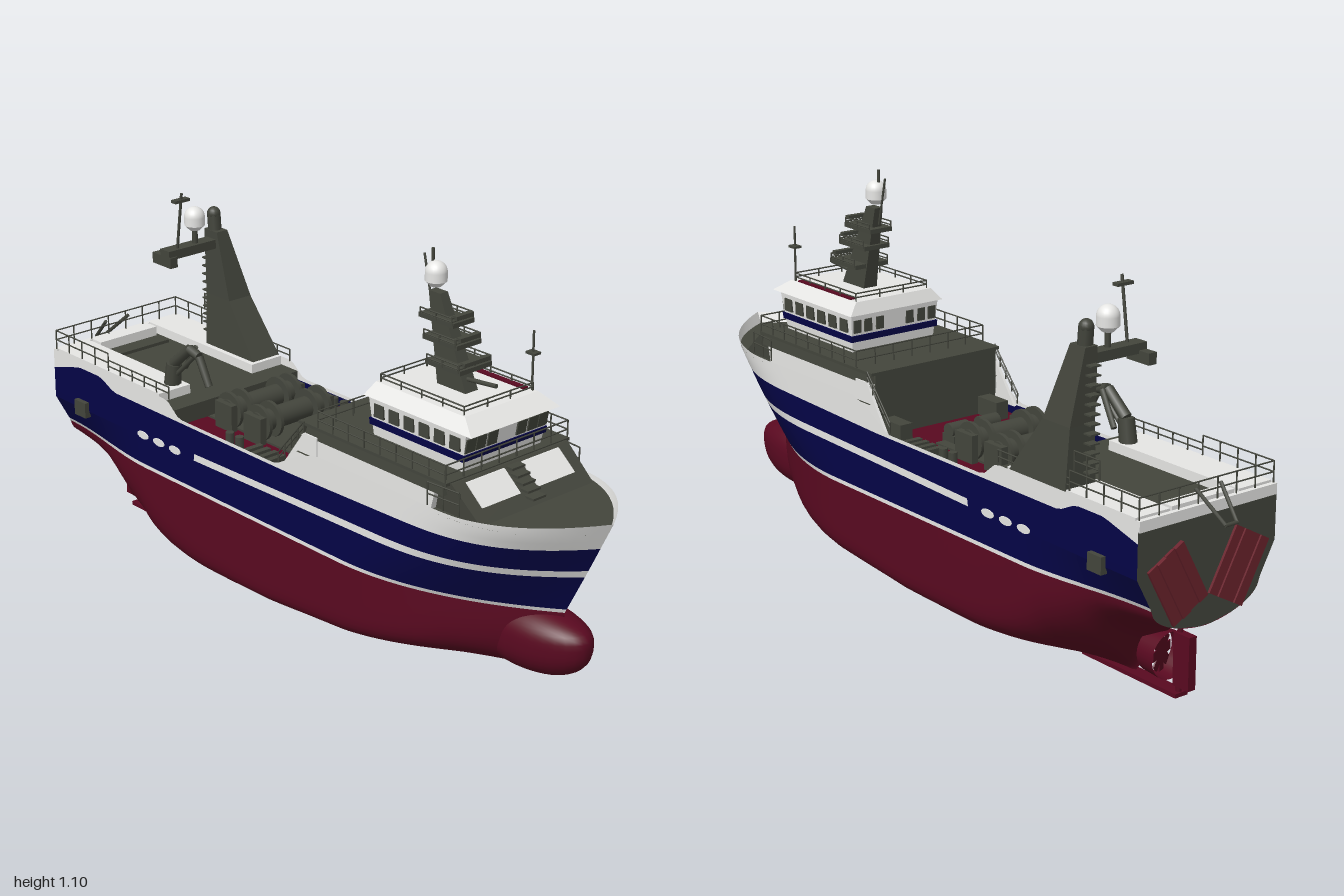
import * as THREE from 'three';

const paint = (name, color) => new THREE.MeshStandardMaterial({ name, color, side: THREE.DoubleSide });
const RED = paint('maroon', 0x590920), NAVY = paint('navy', 0x040446), WHITE = paint('white', 0xe6e6e4);
const GREY = paint('deck grey', 0x43453c), DOOR = paint('faded red', 0x6a222c);

const clamp = THREE.MathUtils.clamp, lerp = THREE.MathUtils.lerp;
const V = (x, y, z) => new THREE.Vector3(x, y, z);

// Piecewise-linear lookup: table rows are [key, value...]
function look(table, k, col = 1) {
  let i = 0;
  while (i < table.length - 2 && k > table[i + 1][0]) i++;
  const a = table[i], b = table[i + 1];
  return lerp(a[col], b[col], clamp((k - a[0]) / (b[0] - a[0]), 0, 1));
}

// Hull lines
const STERN = -0.92, WL = 0.291;
// z, keel height, bilge fullness, section power
const KEEL = [[-0.92, 0.215, 2, 0.6], [-0.8, 0.17, 2, 0.9], [-0.74, 0.1, 2, 1.4], [-0.68, 0.014, 2.2, 1.5],
  [-0.55, 0.003, 3.5, 1.2], [-0.3, 0.02, 12, 0.85], [0, 0.042, 19, 0.8], [0.3, 0.062, 14, 0.8],
  [0.6, 0.088, 5, 0.8], [0.76, 0.107, 3, 0.8], [0.83, 0.16, 2, 0.8], [0.86, 0.286, 2, 0.8]];
const SHEER = [[-0.92, 0.525], [-0.4, 0.525], [-0.35, 0.485], [0.05, 0.485], [0.13, 0.53], [0.2, 0.555], [0.7, 0.555], [1, 0.575]];
const BLUE = [[-0.92, 0.47], [-0.8, 0.503], [-0.7, 0.503], [-0.64, 0.475], [0.1, 0.475], [0.6, 0.488], [1, 0.5]];
const keel = z => look(KEEL, z), sheer = z => look(SHEER, z), blueTop = z => look(BLUE, z);
const stripeLow = z => look([[-0.92, 0.38], [-0.29, 0.383], [0.1, 0.392], [1, 0.41]], z);
const stripeHigh = z => stripeLow(z) + 0.02;
const stem = y => look([[WL, 0.86], [0.42, 0.925], [0.575, 1]], y);

function half(z, y) {
  const yy = Math.max(y, WL), f = clamp((yy - WL) / 0.25, 0, 1);
  const t = clamp((stem(yy) - z) / lerp(0.58, 0.45, f), 0, 1);
  let w = 0.222 * (1 - Math.pow(1 - t, lerp(2, 3.4, f)));
  const aft = THREE.MathUtils.smoothstep(-z, 0.5, 0.92);
  w *= 1 - 0.22 * aft * (1 - clamp((yy - WL) / 0.09, 0, 1));
  if (y < WL) {
    const s = clamp((y - keel(z)) / (WL - keel(z)), 0, 1);
    w *= Math.pow(1 - Math.pow(1 - s, look(KEEL, z, 2)), look(KEEL, z, 3));
  }
  return w;
}

export function createModel() {
  const ship = new THREE.Group();
  ship.name = 'trawler';
  const add = (name, geo, mat, x = 0, y = 0, z = 0) => {
    const m = new THREE.Mesh(geo, mat);
    m.name = name;
    m.position.set(x, y, z);
    ship.add(m);
    return m;
  };
  // Tapered box: each end is [x0, x1, z0, z1, y]
  const block = (name, mat, lo, hi) => {
    const g = new THREE.BoxGeometry(1, 1, 1), p = g.attributes.position;
    for (let i = 0; i < p.count; i++) {
      const e = p.getY(i) > 0 ? hi : lo;
      p.setXYZ(i, p.getX(i) > 0 ? e[1] : e[0], e[4], p.getZ(i) > 0 ? e[3] : e[2]);
    }
    g.computeVertexNormals();
    return add(name, g, mat);
  };
  const box = (name, mat, x0, x1, y0, y1, z0, z1) => block(name, mat, [x0, x1, z0, z1, y0], [x0, x1, z0, z1, y1]);
  const beam = (name, a, b, r, mat = GREY, r2 = r) => {
    const m = add(name, new THREE.CylinderGeometry(r2, r, a.distanceTo(b), 8), mat);
    m.position.copy(a).lerp(b, 0.5);
    m.quaternion.setFromUnitVectors(V(0, 1, 0), b.clone().sub(a).normalize());
    return m;
  };
  const rail = (name, pts, h, gap = 0.06) => {
    for (let i = 0; i < pts.length - 1; i++) {
      const a = pts[i], b = pts[i + 1], n = Math.max(1, Math.round(a.distanceTo(b) / gap));
      for (const k of [0.5, 1]) beam(name + 'Bar', a.clone().setY(a.y + h * k), b.clone().setY(b.y + h * k), 0.002);
      for (let j = 0; j <= n; j++) {
        const p = a.clone().lerp(b, j / n);
        beam(name + 'Post', p, p.clone().setY(p.y + h), 0.002);
      }
    }
  };

  // Hull plating in painted bands, both sides
  const band = (name, mat, lo, hi, rows = 2, u0 = 0, u1 = 1, power = 1) => {
    for (const side of [1, -1]) {
      const pos = [], idx = [], cols = 90;
      for (let i = 0; i <= cols; i++) for (let j = 0; j <= rows; j++) {
        const u = lerp(u0, u1, i / cols), v = Math.pow(j / rows, power);
        let z = lerp(STERN, 0.9, u), y = 0;
        for (let k = 0; k < 5; k++) { y = lerp(lo(z), hi(z), v); z = lerp(STERN, stem(y), u); }
        pos.push(side * half(z, y), y, z);
        if (i < cols && j < rows) {
          const a = i * (rows + 1) + j, b = a + 1, c = a + rows + 1, d = c + 1;
          idx.push(...(side > 0 ? [a, b, c, b, d, c] : [a, c, b, b, c, d]));
        }
      }
      const g = new THREE.BufferGeometry();
      g.setAttribute('position', new THREE.Float32BufferAttribute(pos, 3));
      g.setIndex(idx);
      g.computeVertexNormals();
      add(name, g, mat);
    }
  };
  band('bottomHull', RED, keel, () => WL, 18, 0, 1, 2);
  band('waterline', WHITE, () => WL, () => 0.302, 1);
  band('lowerTopsides', NAVY, () => 0.302, stripeLow, 5);
  band('stripeAft', NAVY, stripeLow, stripeHigh, 1, 0, 0.345);
  band('stripe', WHITE, stripeLow, stripeHigh, 1, 0.345, 1);
  band('upperTopsides', NAVY, stripeHigh, blueTop, 4);
  band('bulwark', WHITE, blueTop, sheer, 3);
  // Bulbous bow: sphere squared off towards top and bottom, nose lifted
  const bulb = new THREE.SphereGeometry(1, 32, 24), bp = bulb.attributes.position;
  for (let i = 0; i < bp.count; i++) {
    const y = bp.getY(i), lift = Math.max(0, bp.getZ(i)) * 0.025 * (1 - Math.abs(y));
    bp.setXYZ(i, bp.getX(i) * 0.085, Math.sign(y) * Math.pow(Math.abs(y), 0.8) * 0.09 + lift, bp.getZ(i) * 0.195);
  }
  bulb.computeVertexNormals();
  add('bulbousBow', bulb, RED, 0, 0.2, 0.75);

  // Transom
  const edge = [];
  for (let i = 0; i <= 24; i++) { const y = lerp(0.216, 0.5, i / 24); edge.push([half(STERN, y), y]); }
  const flat = pts => new THREE.ShapeGeometry(new THREE.Shape(pts.map(p => new THREE.Vector2(p[0], p[1]))));
  const mirrored = e => [...e, ...e.slice().reverse().map(p => [-p[0], p[1]])];
  add('transom', flat(mirrored(edge)), GREY, 0, 0, STERN).rotation.y = Math.PI;
  box('transomTop', WHITE, -0.22, 0.22, 0.497, 0.525, -0.923, -0.91);
  // Decks
  const bow = [];
  for (let i = 0; i <= 30; i++) { const z = lerp(0.13, 0.985, i / 30); bow.push([half(z, 0.545), -z]); }
  add('foredeck', flat(mirrored(bow)), GREY, 0, 0.545, 0).rotation.x = -Math.PI / 2;
  box('workDeck', RED, -0.217, 0.217, 0.44, 0.45, -0.4, 0.16);
  box('winchBed', GREY, -0.1, 0.11, 0.45, 0.456, -0.4, -0.01);
  box('trawlDeck', GREY, -0.218, 0.218, 0.455, 0.503, -0.915, -0.37);
  for (const s of [1, -1]) {
    box('sideCasing', WHITE, s * 0.1635 - 0.0535, s * 0.1635 + 0.0535, 0.5, 0.529, -0.905, -0.44);
    box('casingStep', GREY, 0.16 * s - 0.02, 0.16 * s + 0.02, 0.45, 0.5, 0.05, 0.14);
    // Hull side plates and fenders
    for (const z of [-0.37, -0.44, -0.51]) {
      const c = add('sidePlate', new THREE.CylinderGeometry(0.011, 0.011, 0.005, 16), WHITE, 0.222 * s, 0.388, z);
      c.rotation.z = Math.PI / 2;
      c.scale.z = 2.2;
    }
    box('fender', GREY, s * 0.226 - 0.01, s * 0.226 + 0.01, 0.363, 0.408, -0.81, -0.76);
    // Trawl doors hung on the stern
    const door = new THREE.Group();
    door.name = 'trawlDoor';
    for (let i = 0; i < 4; i++) {
      const p = new THREE.Mesh(new THREE.BoxGeometry(0.029, 0.175, i % 2 ? 0.008 : 0.016), DOOR);
      p.name = 'doorPlank';
      p.position.x = (i - 1.5) * 0.03;
      door.add(p);
    }
    door.position.set(0.098 * s, 0.345, -0.923);
    door.rotation.z = -0.5 * s;
    ship.add(door);
  }
  box('sternHatch', GREY, -0.09, 0.09, 0.503, 0.512, -0.83, -0.79);
  box('sternBeam', WHITE, -0.1, 0.1, 0.503, 0.53, -0.9, -0.86);

  // Rudder, nozzle and heel
  box('rudder', RED, -0.012, 0.012, 0.03, 0.17, -0.88, -0.825);
  box('rudderHeel', RED, -0.02, 0.02, 0.003, 0.014, -0.845, -0.5);
  beam('rudderStock', V(0, 0.01, -0.835), V(0, 0.22, -0.835), 0.007, RED);
  add('propellerNozzle', new THREE.CylinderGeometry(0.058, 0.062, 0.06, 28, 1, true), RED, 0, 0.097, -0.775).rotation.x = Math.PI / 2;
  for (let i = 0; i < 4; i++) {
    const b = add('propellerBlade', new THREE.BoxGeometry(0.025, 0.1, 0.004), RED, 0, 0.097, -0.77);
    b.rotation.set(0, 0.4, i * Math.PI / 4);
  }

  // Forward deckhouse with sloping side wings aft
  block('deckhouseBase', WHITE, [-0.213, 0.213, 0.135, 0.6, 0.51], [-0.212, 0.212, 0.14, 0.62, 0.592]);
  block('deckhouseUpper', GREY, [-0.212, 0.212, 0.15, 0.65, 0.592], [-0.208, 0.208, 0.16, 0.64, 0.625]);
  block('deckhouseFront', GREY, [-0.195, 0.195, 0.6, 0.76, 0.545], [-0.2, 0.2, 0.6, 0.665, 0.625]);
  box('bridgeDeck', GREY, -0.213, 0.213, 0.62, 0.628, 0.13, 0.66);
  box('deckhouseAftWall', GREY, -0.2, 0.2, 0.45, 0.62, 0.13, 0.136);
  for (const s of [1, -1]) {
    block('sideWing', WHITE, [s * 0.213 - 0.004, s * 0.213 + 0.004, 0.06, 0.2, 0.475], [s * 0.211 - 0.004, s * 0.211 + 0.004, 0.15, 0.2, 0.6]);
    // Sloping panels lie just proud of the deckhouse front
    block('frontPanel', WHITE, [s * 0.095 - 0.065, s * 0.095 + 0.065, 0.724, 0.731, 0.573],
      [s * 0.095 - 0.065, s * 0.095 + 0.065, 0.668, 0.675, 0.62]);
    rail('wingRail', [V(s * 0.213, 0.6, 0.15), V(s * 0.213, 0.485, 0.05)], 0.03, 0.04);
  }
  for (let i = 0; i < 5; i++) box('frontStep', GREY, -0.022, 0.022, 0.56 + i * 0.014, 0.566 + i * 0.014, 0.67, 0.765 - i * 0.018);
  // Wheelhouse
  block('wheelhouse', WHITE, [-0.135, 0.135, 0.325, 0.635, 0.625], [-0.145, 0.145, 0.315, 0.655, 0.735]);
  block('blueBand', NAVY, [-0.143, 0.143, 0.317, 0.645, 0.657], [-0.144, 0.144, 0.316, 0.648, 0.674]);
  for (const x of [-0.124, -0.089, -0.05, 0.05, 0.089, 0.124]) {
    block('frontWindow', GREY, [x - 0.016, x + 0.016, 0.643, 0.649, 0.68], [x - 0.016, x + 0.016, 0.649, 0.656, 0.717]);
    box('rearWindow', GREY, x - 0.012, x + 0.012, 0.682, 0.717, 0.314, 0.319);
  }
  for (let i = 0; i < 6; i++) for (const s of [1, -1]) {
    const z = 0.352 + i * 0.053;
    box('sideWindow', GREY, s * 0.143 - 0.003, s * 0.143 + 0.003, 0.682, 0.717, z - 0.017, z + 0.017);
  }
  block('wheelhouseRoof', WHITE, [-0.153, 0.153, 0.305, 0.68, 0.733], [-0.125, 0.125, 0.32, 0.63, 0.766]);
  box('roofStrip', RED, 0.105, 0.122, 0.766, 0.77, 0.35, 0.6);
  rail('roofRail', [V(-0.118, 0.765, 0.62), V(-0.118, 0.765, 0.33), V(0.118, 0.765, 0.33), V(0.118, 0.765, 0.62), V(-0.118, 0.765, 0.62)], 0.022, 0.08);
  rail('bridgeRail', [V(-0.211, 0.625, 0.2), V(-0.211, 0.625, 0.655), V(0.211, 0.625, 0.655), V(0.211, 0.625, 0.2), V(-0.211, 0.625, 0.2)], 0.048);
  for (const s of [1, -1]) rail('foredeckRail', [V(s * 0.216, 0.555, 0.6), V(s * 0.208, 0.555, 0.7)], 0.06);
  beam('whipAerial', V(0.12, 0.73, 0.615), V(0.12, 0.92, 0.615), 0.003);
  box('aerialCross', GREY, 0.108, 0.132, 0.86, 0.866, 0.6, 0.63);

  // Raked main mast with radar platforms and dome
  const dome = (name, x, y, z, r) => {
    add(name, new THREE.SphereGeometry(r, 24, 10, 0, Math.PI * 2, 0, Math.PI / 2), WHITE, x, y, z);
    add(name + 'Skirt', new THREE.CylinderGeometry(r, r, r * 0.8, 24), WHITE, x, y - r * 0.4, z);
    add(name + 'Base', new THREE.CylinderGeometry(r, r * 0.5, r * 0.5, 24), WHITE, x, y - r * 1.05, z);
  };
  block('mainMast', GREY, [-0.022, 0.022, 0.43, 0.53, 0.76], [-0.013, 0.013, 0.385, 0.425, 0.995]);
  for (const [y, w, z] of [[0.83, 0.055, 0.47], [0.885, 0.042, 0.445], [0.935, 0.036, 0.425]]) {
    box('mastPlatform', GREY, -w, w, y - 0.006, y + 0.006, z - 0.05, z + 0.07);
    rail('platformRail', [V(-w, y, z - 0.045), V(-w, y, z + 0.065), V(w, y, z + 0.065), V(w, y, z - 0.045)], 0.02);
    box('radarScanner', GREY, -w * 0.8, w * 0.8, y + 0.014, y + 0.024, z + 0.06, z + 0.075);
  }
  beam('radarArm', V(0, 0.79, 0.46), V(0, 0.805, 0.61), 0.006);
  dome('mastDome', 0, 1.042, 0.397, 0.028);
  beam('mastTip', V(0, 1.06, 0.385), V(0, 1.1, 0.385), 0.004);
  beam('mastAerial', V(0, 0.95, 0.385), V(0, 1.08, 0.355), 0.003);

  // Net drums and small winches
  for (const z of [-0.28, -0.16]) {
    const across = (name, r, x, len) => { add(name, new THREE.CylinderGeometry(r, r, len, 24), GREY, x, 0.5, z).rotation.z = Math.PI / 2; };
    across('drumCore', 0.03, 0.005, 0.23);
    for (const x of [-0.1, -0.06, 0.07, 0.11]) across('drumFlange', 0.05, x, 0.01);
    for (const x of [-0.115, 0.125]) box('drumStand', GREY, x - 0.01, x + 0.01, 0.45, 0.525, z - 0.035, z + 0.035);
  }
  for (const x of [-0.05, 0.05]) {
    box('winchBase', GREY, x - 0.03, x + 0.03, 0.45, 0.475, -0.05, 0);
    add('winchDrum', new THREE.CylinderGeometry(0.02, 0.02, 0.06, 16), GREY, x, 0.485, -0.025).rotation.z = Math.PI / 2;
  }
  for (const s of [1, -1]) {
    for (const z of [-0.09, -0.06, -0.03, 0]) box('deckFitting', GREY, s * 0.182 - 0.03, s * 0.182 + 0.03, 0.45, 0.475, z - 0.008, z + 0.008);
    for (const z of [-0.14, -0.18]) beam('bollard', V(s * 0.185, 0.45, z), V(s * 0.185, 0.49, z), 0.012);
  }

  // Knuckle crane
  const joints = [V(-0.14, 0.52, -0.48), V(-0.14, 0.59, -0.47), V(-0.14, 0.65, -0.4), V(-0.14, 0.64, -0.36), V(-0.14, 0.565, -0.32)];
  [0.024, 0.016, 0.014, 0.012].forEach((r, i) => beam('craneArm', joints[i], joints[i + 1], r, GREY, r * 0.9));
  beam('craneRam', V(-0.14, 0.56, -0.46), V(-0.14, 0.635, -0.38), 0.007);
  beam('craneJib', V(-0.12, 0.65, -0.4), V(-0.1, 0.57, -0.47), 0.008);

  // Stern tower with exhaust, cross arm, dome and aerial
  block('towerBase', GREY, [0.125, 0.22, -0.66, -0.45, 0.525], [0.13, 0.208, -0.66, -0.56, 0.68]);
  block('towerTop', GREY, [0.13, 0.208, -0.66, -0.56, 0.68], [0.13, 0.168, -0.665, -0.61, 0.87]);
  beam('towerPipe', V(0.149, 0.85, -0.64), V(0.149, 0.915, -0.645), 0.019);
  add('towerCap', new THREE.SphereGeometry(0.019, 16, 10), GREY, 0.149, 0.915, -0.645);
  box('towerArm', GREY, -0.035, 0.15, 0.822, 0.848, -0.655, -0.615);
  box('armEnd', GREY, -0.035, -0.01, 0.8, 0.83, -0.69, -0.61);
  dome('towerDome', 0.07, 0.924, -0.632, 0.029);
  beam('domePost', V(0.07, 0.84, -0.632), V(0.07, 0.89, -0.632), 0.008);
  beam('towerAerial', V(0.005, 0.84, -0.63), V(0.005, 1.01, -0.605), 0.004);
  box('aerialBar', GREY, -0.02, 0.03, 0.985, 0.993, -0.62, -0.6);
  for (let i = 0; i < 12; i++) box('ladderRung', GREY, 0.135, 0.165, 0.56 + i * 0.024, 0.564 + i * 0.024, -0.685, -0.66);

  // Stern rails and ramp frame
  for (const s of [1, -1]) {
    rail('sternSideRail', [V(s * 0.215, 0.525, -0.67), V(s * 0.215, 0.525, -0.915)], 0.055);
    rail('midSideRail', [V(s * 0.215, 0.525, -0.4), V(s * 0.215, 0.525, -0.67)], 0.035);
    beam('sternFrame', V(s * 0.04, 0.565, -0.915), V(s * 0.018, 0.492, -0.995), 0.005);
  }
  rail('towerRail', [V(0.21, 0.58, -0.68), V(0.21, 0.58, -0.77)], 0.05, 0.045);
  rail('sternRail', [V(-0.215, 0.525, -0.915), V(0.215, 0.525, -0.915)], 0.055);
  beam('sternFrameBar', V(-0.02, 0.492, -0.995), V(0.02, 0.492, -0.995), 0.005);
  return ship;
}
